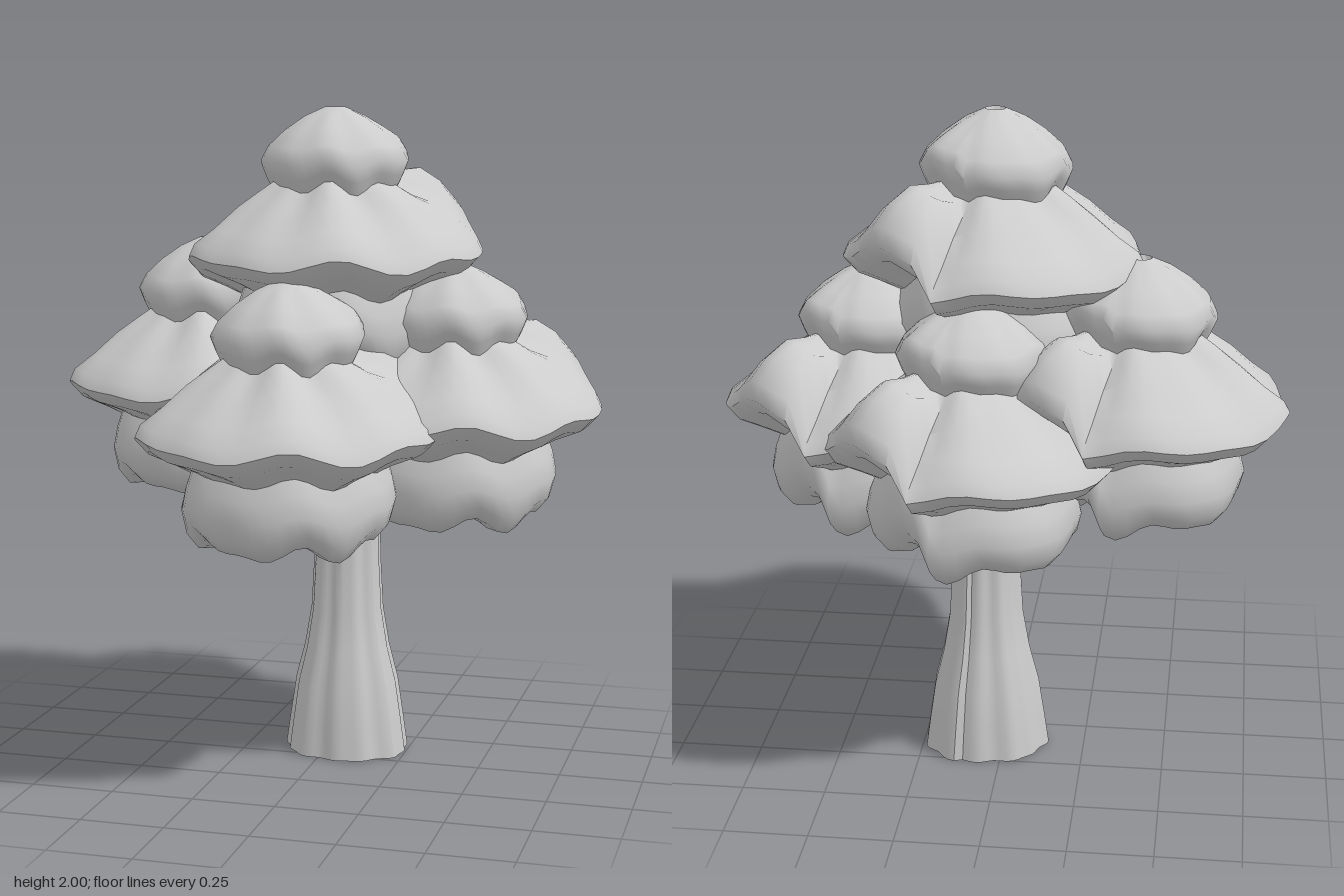
import * as THREE from 'three';
import { mergeVertices, toCreasedNormals } from 'three/addons/utils/BufferGeometryUtils.js';

const material = new THREE.MeshStandardMaterial({ color: 0xcccccc, side: THREE.DoubleSide });
const SEAM = 2.84; // direction of the fold at the back of every clump

// Foliage profile, bottom to top: radius, height below the tip, lift at the fold, wave strength
const profile = [
  [0.0, -0.66, 0, 0], [0.1, -0.71, 0.02, 0.2], [0.2, -0.755, 0.04, 0.8], [0.262, -0.75, 0.05, 1],
  [0.298, -0.71, 0.06, 0.9], [0.313, -0.65, 0.07, 0.6], [0.3, -0.59, 0.08, 0.6], [0.283, -0.545, 0.08, 0.7],
  [0.33, -0.52, 0.08, 0.8], [0.405, -0.49, 0.09, 0.8], [0.442, -0.45, 0.1, 0.8], [0.425, -0.415, 0.12, 0.8],
  [0.365, -0.37, 0.14, 0.7], [0.293, -0.308, 0.11, 0.8], [0.23, -0.265, 0.05, 0.9], [0.188, -0.235, 0.02, 0.8],
  [0.205, -0.205, 0.03, 0.6], [0.222, -0.165, 0.04, 0.5], [0.2, -0.122, 0.03, 0.3], [0.15, -0.074, 0.01, 0.2],
  [0.09, -0.032, 0, 0.1], [0.03, -0.004, 0, 0], [0.024, -0.022, 0, 0], [0.0, -0.035, 0, 0],
];

// Lathe whose points are moved by a rule; the last column meets the first, making the fold
function foldedLathe(points, segments, move) {
  const geometry = new THREE.LatheGeometry(points.map(([r, y]) => new THREE.Vector2(r, y)), segments, SEAM);
  const position = geometry.attributes.position;
  const v = new THREE.Vector3();
  for (let i = 0; i < position.count; i++) {
    const column = Math.floor(i / points.length) % segments;
    const t = column / segments;
    v.fromBufferAttribute(position, i);
    move(v, t, SEAM + t * Math.PI * 2, points[i % points.length]);
    position.setXYZ(i, v.x, v.y, v.z);
  }
  geometry.deleteAttribute('normal');
  geometry.deleteAttribute('uv');
  return mergeVertices(geometry, 1e-5);
}

function clumpGeometry() {
  const geometry = foldedLathe(profile, 48, (v, t, angle, [, y, lift, wave]) => {
    const ripple = 0.018 * Math.cos(6 * angle + y * 3) + 0.012 * Math.sin(9 * angle + 1 + y * 5);
    v.y += wave * (ripple - 0.008 * Math.cos(angle)) + lift * THREE.MathUtils.smoothstep(t, 0.76, 0.97);
    const swell = 1 + wave * 0.014 * Math.sin(7 * angle + y * 9);
    v.x *= swell;
    v.z *= swell;
  });
  return toCreasedNormals(geometry, 1.1);
}

// Ribbed trunk, open at both ends, wider in x than in z towards the ground
function trunkGeometry() {
  const rings = [[0.192, 0], [0.178, 0.1], [0.16, 0.22], [0.132, 0.33], [0.112, 0.45], [0.104, 0.6], [0.1, 0.78], [0.095, 1.2]];
  const geometry = foldedLathe(rings, 60, (v, t, angle, [, y]) => {
    const flare = Math.max(0, 1 - y / 0.5);
    const rib = 0.98 + 0.03 * Math.sin(7 * angle) + 0.025 * Math.sin(12 * angle + 2);
    const fold = 1 + 0.1 * THREE.MathUtils.smoothstep(t, 0.87, 0.97);
    v.x *= rib * fold;
    v.z *= rib * fold * (0.95 - 0.12 * flare);
  });
  return toCreasedNormals(geometry, 0.5);
}

export function createModel() {
  const model = new THREE.Group();
  model.name = 'tree';

  const trunk = new THREE.Mesh(trunkGeometry(), material);
  trunk.name = 'trunk';
  trunk.position.set(0.058, 0, -0.11);
  model.add(trunk);

  // Five copies of the same leafy clump, placed by their tips
  const leaves = clumpGeometry();
  const clumps = [
    ['topFoliage', 0.03, 2.0, -0.06],
    ['frontFoliage', -0.01, 1.51, 0.315],
    ['leftFoliage', 0.395, 1.54, -0.075],
    ['rightFoliage', -0.4, 1.6, -0.16],
    ['backFoliage', 0.065, 1.51, -0.32],
  ];
  for (const [name, x, y, z] of clumps) {
    const clump = new THREE.Mesh(leaves, material);
    clump.name = name;
    clump.position.set(x, y, z);
    model.add(clump);
  }
  return model;
}
